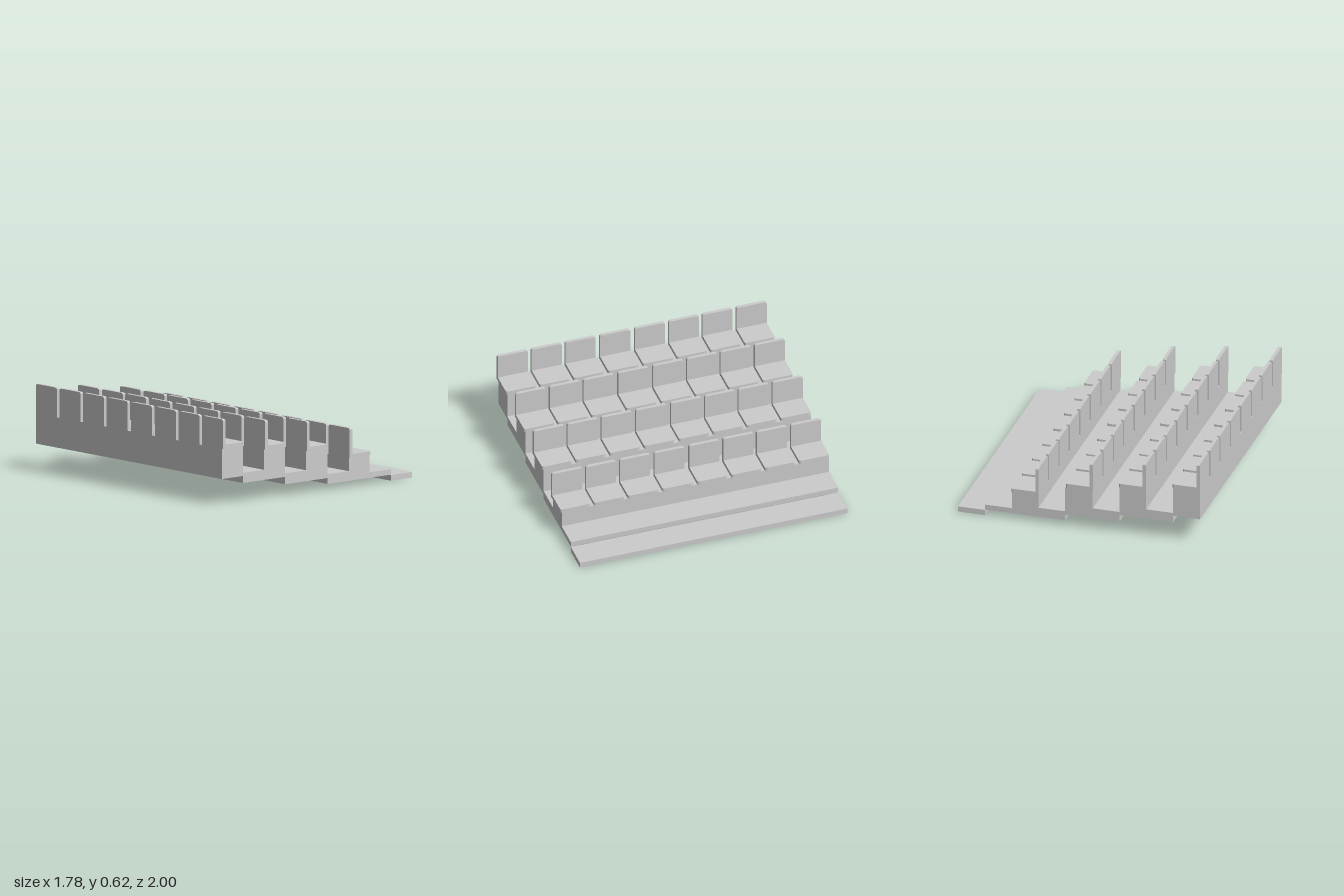
import * as THREE from 'three';

const material = new THREE.MeshStandardMaterial({ color: 0xcccccc, flatShading: true });

// Extrude a closed outline by a depth along +z
function extrude(points, depth) {
  const shape = new THREE.Shape(points.map(([x, y]) => new THREE.Vector2(x, y)));
  return new THREE.ExtrudeGeometry(shape, { depth, bevelEnabled: false });
}

// Rectangle from (0, -w/2) to (l, w/2) whose two far corners are rounded
function roundedEnd(l, w, rx, ry) {
  const pts = [[0, -w / 2]];
  const steps = 4;
  for (let i = 0; i <= steps; i++) {
    const a = (i / steps) * Math.PI / 2;
    pts.push([l - rx + rx * Math.sin(a), -w / 2 + ry - ry * Math.cos(a)]);
  }
  for (let i = 0; i <= steps; i++) {
    const a = (i / steps) * Math.PI / 2;
    pts.push([l - rx + rx * Math.cos(a), w / 2 - ry + ry * Math.sin(a)]);
  }
  pts.push([0, w / 2]);
  return pts;
}

function add(parent, name, geometry, x = 0, y = 0, z = 0) {
  const mesh = new THREE.Mesh(geometry, material);
  mesh.name = name;
  mesh.position.set(x, y, z);
  parent.add(mesh);
  return mesh;
}

export function createModel() {
  const model = new THREE.Group();
  model.name = 'tieredSeating';

  // Stepped floor: one side profile per tier, extruded along the rows
  const tiers = [
    [[0.69, 0], [0.89, 0], [0.89, 0.04], [0.69, 0.04]],
    [[0.1, 0.043], [0.69, 0.043], [0.69, 0.082], [0.493, 0.082],
      [0.493, 0.206], [0.297, 0.206], [0.297, 0.112], [0.1, 0.112]],
    [[-0.298, 0.085], [0.1, 0.085], [0.1, 0.3], [-0.102, 0.3],
      [-0.102, 0.163], [-0.298, 0.163]],
    [[-0.694, 0.138], [-0.298, 0.138], [-0.298, 0.355], [-0.495, 0.355],
      [-0.495, 0.21], [-0.694, 0.21]],
    [[-0.89, 0.188], [-0.694, 0.188], [-0.694, 0.405], [-0.89, 0.405]],
  ];
  for (const profile of tiers) add(model, 'tier', extrude(profile, 1.988), 0, 0, -1);

  // Cushion: rounded front corners in plan
  const width = 0.224, thick = 0.028;
  const cushion = extrude(roundedEnd(0.205, width, 0.012, 0.022), thick);
  cushion.rotateX(-Math.PI / 2);

  // Backrest: rounded top corners
  const backrest = (height) => {
    const g = extrude(roundedEnd(height, width, 0.012, 0.022), 0.025);
    g.rotateZ(Math.PI / 2);
    g.rotateY(Math.PI / 2);
    return g;
  };

  // Rows of seats: back x, seat base y, backrest top y
  const rows = [[-0.89, 0.405, 0.615], [-0.495, 0.355, 0.565],
    [-0.105, 0.3, 0.512], [0.295, 0.206, 0.42]];
  const centres = [0.888, 0.636, 0.384, 0.127, -0.132, -0.385, -0.634, -0.888];
  for (const [x, y, top] of rows) {
    const row = new THREE.Group();
    row.name = 'seatRow';
    const back = backrest(top - y);
    for (const z of centres) {
      add(row, 'cushion', cushion, x, y, z);
      add(row, 'backrest', back, x, y, z);
    }
    model.add(row);
  }
  return model;
}
